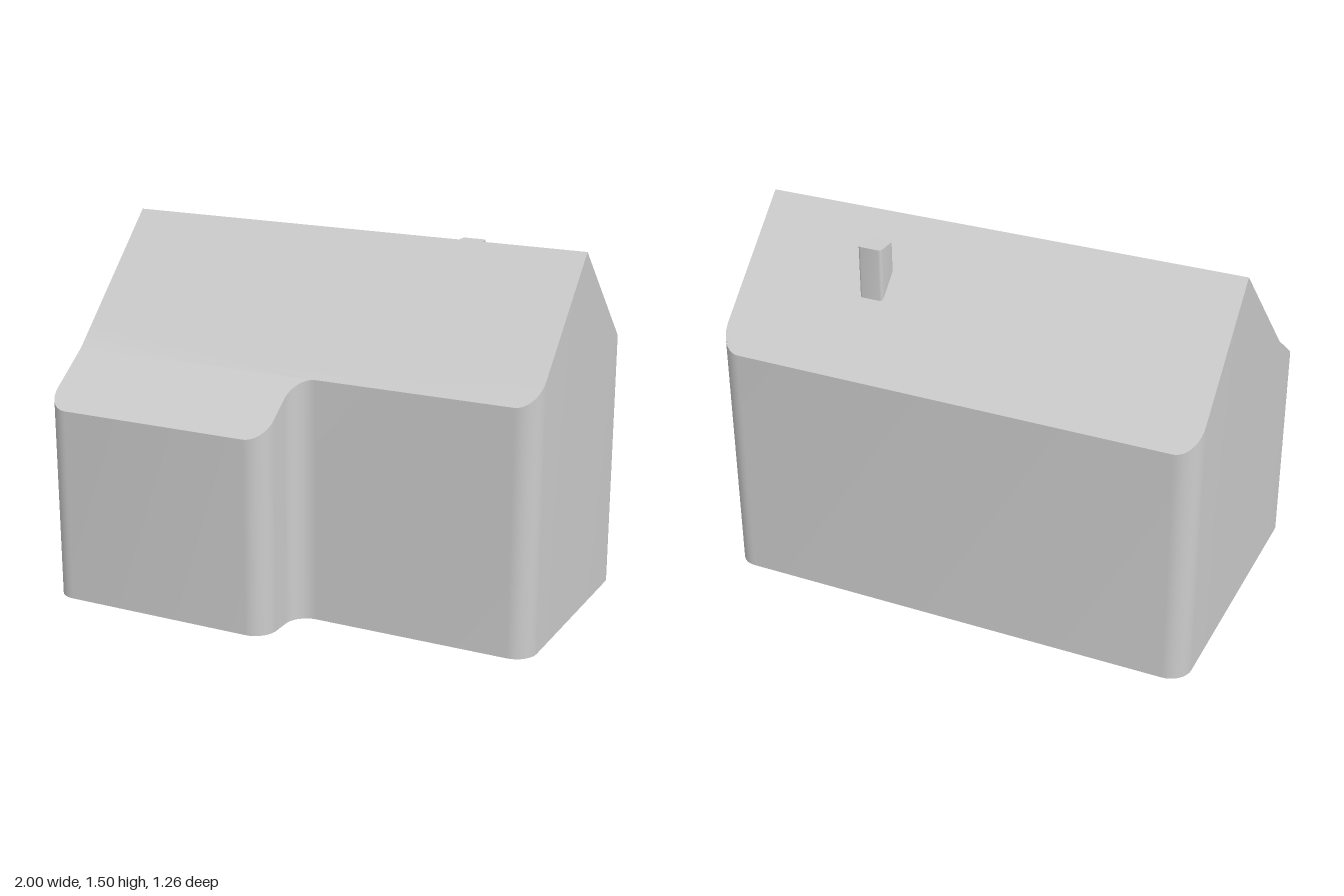
import * as THREE from 'three';
import { mergeGeometries, toCreasedNormals } from 'three/addons/utils/BufferGeometryUtils.js';

const RIDGE = -0.13, EAVE = 0.367, FRONT = 0.63, R = 0.09;
const material = new THREE.MeshStandardMaterial({ color: 0xcccccc });

// Roof height: 45 degree gable, with a shallower slope over the front wing
const roofHeight = (z) => (z <= EAVE
  ? 1.5 - Math.abs(z - RIDGE)
  : 1.5 - (EAVE - RIDGE) - (z - EAVE) * 0.73);

// Plan outline from [x, z, radius] corners, rounding convex and concave ones alike
function roundedOutline(corners, steps) {
  const out = [];
  corners.forEach(([x, z, r], i) => {
    const p = new THREE.Vector2(x, z);
    if (!r) { out.push(p); return; }
    const n = corners.length;
    const toward = (c) => new THREE.Vector2(c[0], c[1]).sub(p).normalize().multiplyScalar(r);
    const a = toward(corners[(i + n - 1) % n]), b = toward(corners[(i + 1) % n]);
    for (let k = 0; k <= steps; k++) {
      const t = (k / steps) * Math.PI / 2;
      out.push(p.clone().addScaledVector(a, 1 - Math.sin(t)).addScaledVector(b, 1 - Math.cos(t)));
    }
  });
  return out;
}

// Keep the part of a plan outline on one side of a line z = c
function clip(points, c, side) {
  const inside = (p) => side * (p.y - c) > side * 1e-6;
  const out = [];
  points.forEach((p, i) => {
    const q = points[(i + 1) % points.length];
    if (inside(p)) out.push(p);
    if (inside(p) !== inside(q)) out.push(p.clone().lerp(q, (c - p.y) / (q.y - p.y)));
  });
  return out.filter((p, i) => p.distanceTo(out[(i + 1) % out.length]) > 1e-5);
}

// Upward-facing surface over a plan outline, lifted to height(z)
function cover(points, height) {
  const g = new THREE.ShapeGeometry(new THREE.Shape(points.map((p) => new THREE.Vector2(p.x, -p.y))));
  g.rotateX(-Math.PI / 2);
  const pos = g.attributes.position;
  for (let i = 0; i < pos.count; i++) pos.setY(i, height(pos.getZ(i)));
  return g;
}

// Vertical walls around a plan outline
function walls(points, bottom, top) {
  const v = [];
  points.forEach((a, i) => {
    const b = points[(i + 1) % points.length];
    const a0 = [a.x, bottom(a.y), a.y], a1 = [a.x, top(a.y), a.y];
    const b0 = [b.x, bottom(b.y), b.y], b1 = [b.x, top(b.y), b.y];
    v.push(...a0, ...b0, ...b1, ...a0, ...b1, ...a1);
  });
  const g = new THREE.BufferGeometry();
  g.setAttribute('position', new THREE.Float32BufferAttribute(v, 3));
  return g;
}

export function createModel() {
  const group = new THREE.Group();
  const add = (name, geometry) => {
    const mesh = new THREE.Mesh(toCreasedNormals(geometry, 0.5), material);
    mesh.name = name;
    group.add(mesh);
  };

  // L-shaped footprint, with extra points where the gables bend
  const plan = roundedOutline([
    [-1, -FRONT, R], [-1, RIDGE, 0], [-1, EAVE, 0], [-1, FRONT, R], [0, FRONT, R],
    [0, EAVE, R], [1, EAVE, R], [1, RIDGE, 0], [1, -FRONT, R],
  ], 10);
  add('walls', walls(plan, () => 0, roofHeight));

  const floor = new THREE.ShapeGeometry(new THREE.Shape(plan));
  floor.rotateX(Math.PI / 2);
  add('floor', floor);

  // Roof in bands between ridge, lower slope and eave
  const cuts = [-1, RIDGE, EAVE - R, EAVE, 1];
  const bands = cuts.slice(1).map((c, i) => cover(clip(clip(plan, cuts[i], 1), c, -1), roofHeight));
  add('roof', mergeGeometries(bands));

  // Chimney on the back slope
  const x0 = 0.38, x1 = 0.48, z0 = -0.392, z1 = -0.293, r = 0.012;
  const stack = roundedOutline([[x0, z0, r], [x0, z1, r], [x1, z1, r], [x1, z0, r]], 4);
  const chimneyTop = () => 1.453;
  add('chimneySides', walls(stack, (z) => roofHeight(z) - 0.01, chimneyTop));
  add('chimneyTop', cover(stack, chimneyTop));

  return group;
}
